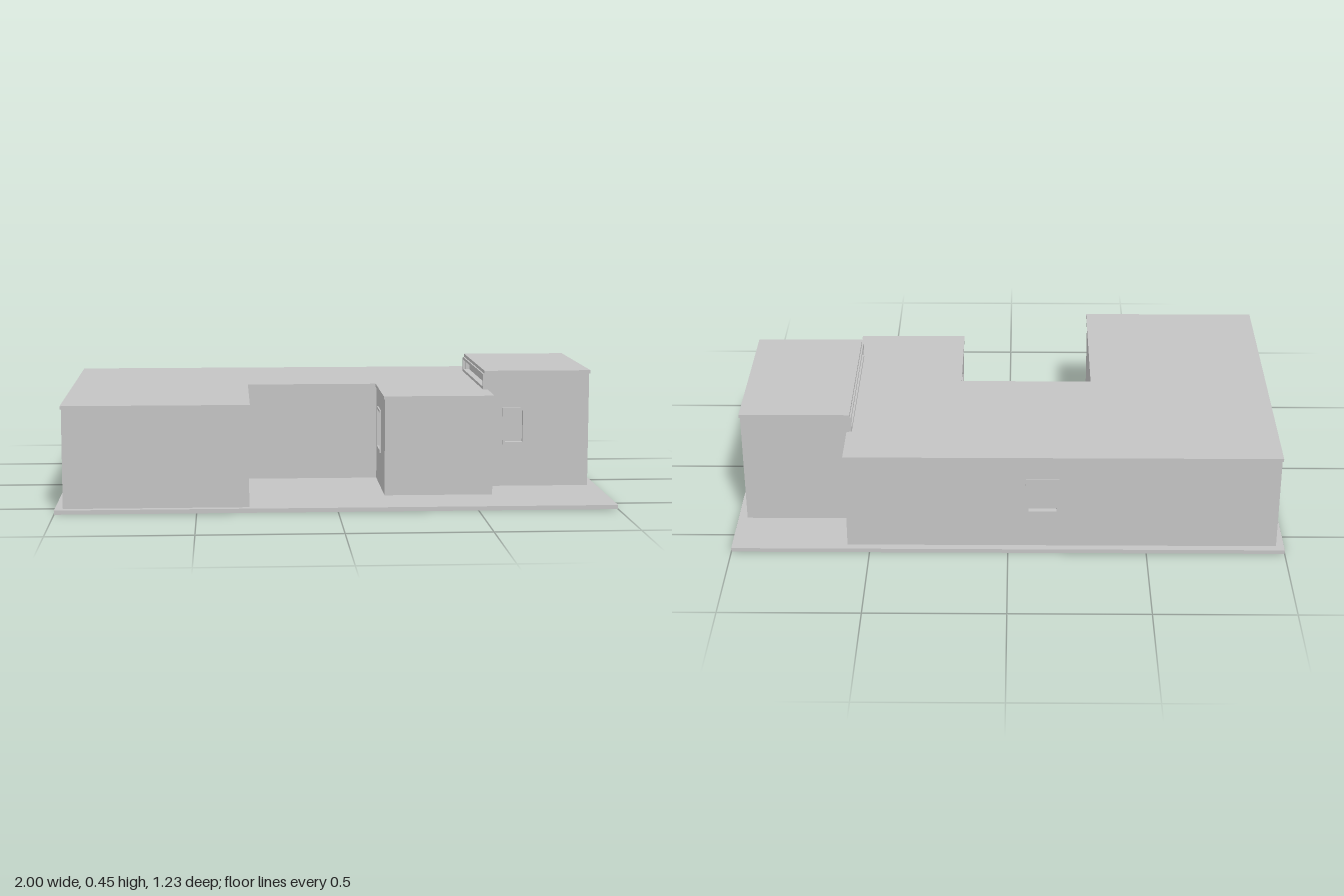
import * as THREE from 'three';

const grey = new THREE.MeshStandardMaterial({ color: 0xc4c4c4 });
grey.name = 'plain grey';

const BASE = 0.015, THICK = 0.025, EAVE = 0.004, SLAB = 0.012;

function mesh(name, geometry) {
  const m = new THREE.Mesh(geometry, grey);
  m.name = name;
  return m;
}

// Counter-clockwise rectangle as a list of points
const rect = (x0, y0, x1, y1) => [[x0, y0], [x1, y0], [x1, y1], [x0, y1]].map(([x, y]) => new THREE.Vector2(x, y));

// Rectangular plate, optionally with a rectangular hole, extruded from z0 to z1
function plate(outer, hole, z0, z1) {
  const shape = new THREE.Shape(rect(...outer));
  if (hole) shape.holes.push(new THREE.Path(rect(...hole).reverse()));
  const g = new THREE.ExtrudeGeometry(shape, { depth: z1 - z0, bevelEnabled: false });
  return g.translate(0, 0, z0);
}

// One wall running from a to b (x, z), with an optional window [u0, y0, u1, y1]
function wall(a, b, height, win, proud) {
  const g = new THREE.Group();
  g.name = 'wall';
  const dx = b[0] - a[0], dz = b[1] - a[1], length = Math.hypot(dx, dz);
  g.position.set(a[0], 0, a[1]);
  g.rotation.y = Math.atan2(-dz, dx);
  let opening = null;
  if (win) {
    const [u0, y0, u1, y1] = win, w = 0.01;
    opening = [u0 + w, y0 + w, u1 - w, y1 - w];
    g.add(mesh('windowFrame', plate(win, opening, -0.015, proud)));
    g.add(mesh('windowPane', plate(opening, null, -0.022, -0.014)));
    opening = [u0 + w - 0.002, y0 + w - 0.002, u1 - w + 0.002, y1 - w + 0.002];
  }
  g.add(mesh('wallPanel', plate([0, BASE, length, height], opening, -THICK, 0)));
  return g;
}

// Flat roof slab following the footprint with a small overhang
function roof(points, top) {
  const n = points.length;
  const normal = (i) => {
    const a = points[(i + n) % n], b = points[(i + 1) % n];
    return [-Math.sign(b[1] - a[1]), Math.sign(b[0] - a[0])];
  };
  const outline = points.map(([x, z], i) => {
    const p = normal(i - 1), q = normal(i);
    return new THREE.Vector2(x + EAVE * (p[0] + q[0]), -(z + EAVE * (p[1] + q[1])));
  });
  const g = new THREE.ExtrudeGeometry(new THREE.Shape(outline), { depth: SLAB, bevelEnabled: false });
  g.rotateX(-Math.PI / 2).translate(0, top - SLAB, 0);
  return mesh('roof', g);
}

// Walls around a footprint plus its roof; windows are keyed by wall index
function building(name, points, top, windows, proud = 0.005) {
  const g = new THREE.Group();
  g.name = name;
  points.forEach((p, i) => {
    const isWide = windows[i] && windows[i][2] - windows[i][0] > 0.3;
    g.add(wall(p, points[(i + 1) % points.length], top - SLAB / 2, windows[i], isWide ? 0.01 : proud));
  });
  g.add(roof(points, top));
  return g;
}

export function createModel() {
  const model = new THREE.Group();
  model.name = 'house';

  // Ground slab
  const slab = mesh('groundSlab', new THREE.BoxGeometry(2, BASE, 1.228));
  slab.position.y = BASE / 2;
  model.add(slab);

  // Low U-shaped house with courtyard and back windows
  model.add(building('mainHouse', [
    [-0.971, 0.586], [-0.314, 0.586], [-0.314, -0.008], [0.184, -0.008],
    [0.184, 0.378], [0.581, 0.378], [0.581, -0.586], [-0.971, -0.586],
  ], 0.381, {
    3: [0.085, 0.145, 0.21, 0.305],
    6: [0.645, 0.152, 0.765, 0.292],
  }));

  // Taller block with a front window and a clerestory above the low roof
  model.add(building('tallBlock', [
    [0.576, 0.2], [0.967, 0.2], [0.967, -0.405], [0.576, -0.405],
  ], 0.452, {
    0: [0.066, 0.173, 0.152, 0.312],
    3: [0, 0.382, 0.605, 0.44],
  }));

  return model;
}
